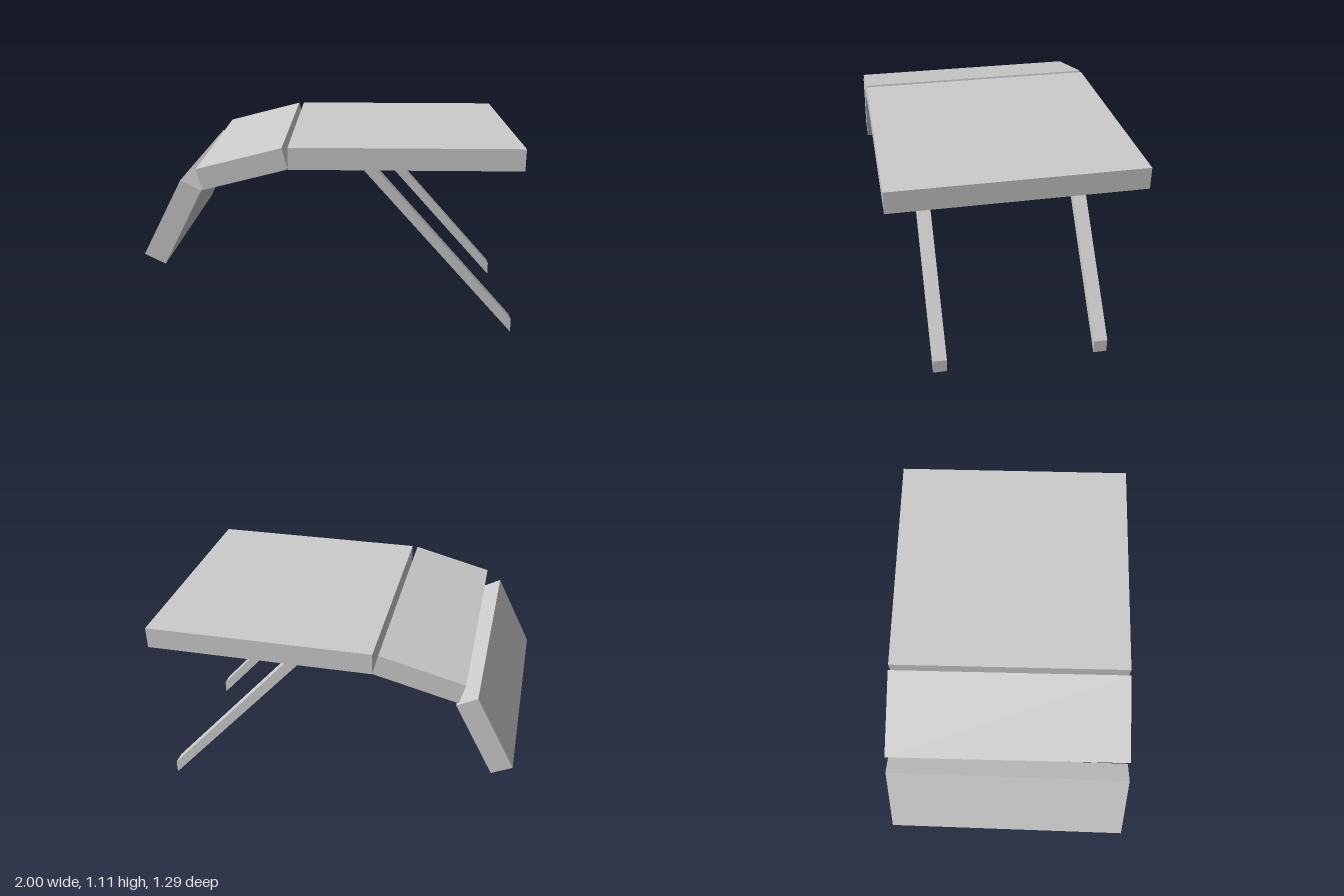
import * as THREE from 'three';

const material = new THREE.MeshStandardMaterial({ color: 0xcccccc, flatShading: true });

// Extrudes an x/y outline from z0 to z1; skew shifts the back end relative to the front.
function slab(name, outline, z0, z1, skew = [0, 0]) {
  const shape = new THREE.Shape(outline.map(([x, y]) => new THREE.Vector2(x, y)));
  const geometry = new THREE.ExtrudeGeometry(shape, { depth: z1 - z0, bevelEnabled: false });
  geometry.translate(0, 0, z0);
  const p = geometry.attributes.position;
  for (let i = 0; i < p.count; i++) {
    const t = (z1 - p.getZ(i)) / (z1 - z0);
    p.setXY(i, p.getX(i) + skew[0] * t, p.getY(i) + skew[1] * t);
  }
  geometry.computeVertexNormals();
  const mesh = new THREE.Mesh(geometry, material);
  mesh.name = name;
  return mesh;
}

export function createModel() {
  const group = new THREE.Group();
  group.name = 'foldingPanelTable';
  const half = 0.645;

  // Flat main panel
  group.add(slab('mainPanel', [[-0.23, 0.992], [0.98, 0.992], [0.98, 1.108], [-0.23, 1.108]], -half, half));

  // Gently sloping middle panel
  group.add(slab('middlePanel', [[-0.675, 0.88], [-0.23, 0.994], [-0.26, 1.106], [-0.705, 0.992]], -half, half));

  // Steep end panel, set very slightly askew
  group.add(slab('endPanel', [[-1, 0.525], [-0.892, 0.47], [-0.682, 0.877], [-0.788, 0.932]], -half, half, [0.018, -0.012]));

  // Two slanted legs with upright-cut feet
  const leg = [[0.115, 0.992], [1, 0], [1, 0.075], [0.188, 0.992]];
  group.add(slab('frontLeg', leg, 0.375, 0.45));
  group.add(slab('backLeg', leg, -0.495, -0.422));

  return group;
}
